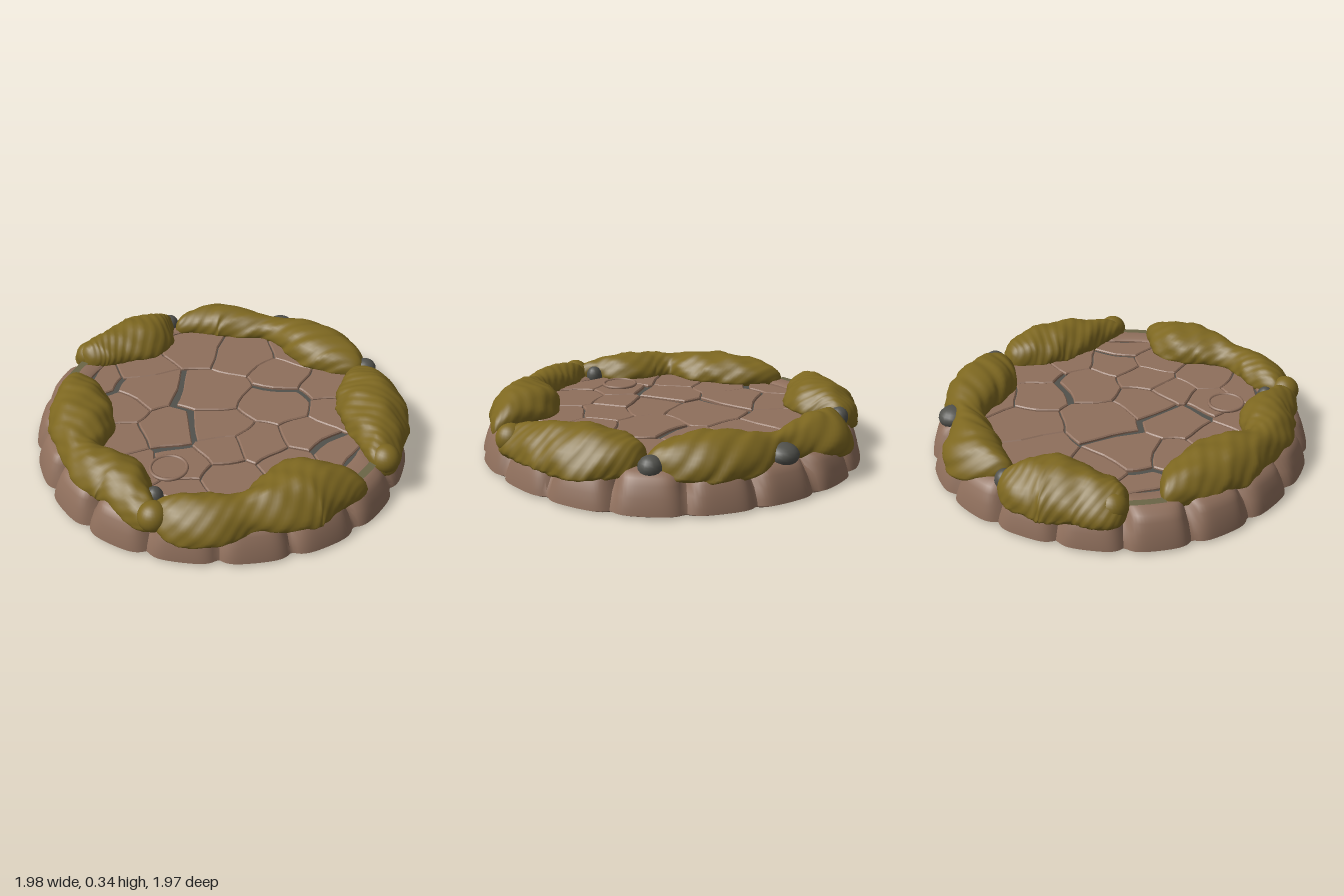
import * as THREE from 'three';
import { mergeVertices, toCreasedNormals } from 'three/addons/utils/BufferGeometryUtils.js';

const mat = (name, color, side = THREE.FrontSide) =>
  Object.assign(new THREE.MeshStandardMaterial({ color, side }), { name });

// Surface from rows of cross-sections, each closed around its columns
function loft(rows, cols, point) {
  const pos = [], index = [];
  for (let i = 0; i <= rows; i++)
    for (let j = 0; j < cols; j++) pos.push(...point(i, j / cols));
  for (let i = 0; i < rows; i++)
    for (let j = 0; j < cols; j++) {
      const k = (j + 1) % cols, a = i * cols + j, b = i * cols + k;
      index.push(a, b, a + cols, b, b + cols, a + cols);
    }
  const geo = new THREE.BufferGeometry();
  geo.setAttribute('position', new THREE.Float32BufferAttribute(pos, 3));
  geo.setIndex(index);
  const merged = mergeVertices(geo, 1e-5);
  merged.computeVertexNormals();
  return merged;
}

// Ring of 18 rounded stones: radius, height and groove depth of each level
const WALL = [
  [0, 0, 0], [0.97, 0, 0.03], [0.995, 0.012, 0.035], [0.99, 0.04, 0.04], [0.975, 0.09, 0.055],
  [0.955, 0.14, 0.075], [0.935, 0.17, 0.085], [0.9, 0.19, 0.07], [0.85, 0.197, 0.03],
  [0.79, 0.195, 0.012], [0.775, 0.185, 0.005], [0.772, 0.16, 0],
];
function wallGeometry() {
  const geo = loft(WALL.length - 1, 360, (i, t) => {
    const a = t * Math.PI * 2;
    const [r0, y0, depth] = WALL[i];
    const s = Math.abs(Math.sin(9 * (a - 0.05 * (1 - Math.cos(a)))));
    const groove = Math.pow(1 - s, 3);
    const uneven = r0 > 0.8 ? 0.008 * Math.sin(5 * a + 1) - 0.006 : 0;
    const r = r0 + uneven - depth * groove;
    const y = y0 > 0.1 ? y0 - depth * 0.25 * groove : y0;
    return [r * Math.sin(a), y, r * Math.cos(a)];
  });
  return toCreasedNormals(geo, 0.7);
}

// Paving stones: cells around these centres (x, z)
const SEEDS = [
  [-0.13, -0.06], [0.2, -0.2], [-0.25, -0.47], [0.05, -0.47], [-0.52, -0.32], [-0.62, 0.0],
  [-0.42, 0.14], [0.1, 0.13], [0.34, 0.1], [-0.08, 0.34], [0.4, 0.38], [0.17, 0.47],
  [-0.42, 0.38], [-0.2, 0.54], [0.5, -0.12], [0.56, 0.12], [0.28, -0.55], [0.5, -0.38],
  [0.67, -0.1], [0.24, 0.27], [-0.7, 0.24], [0.0, 0.67], [0.32, 0.66], [-0.02, -0.68],
];
const WIDE = new Set(['0-6', '0-9', '7-9', '9-11', '1-16', '1-3', '14-18', '6-20', '12-20']);

// Keep the part of a polygon where n.p <= d
function clip(poly, nx, nz, d) {
  const out = [];
  poly.forEach((p, i) => {
    const q = poly[(i + 1) % poly.length];
    const dp = p[0] * nx + p[1] * nz - d, dq = q[0] * nx + q[1] * nz - d;
    if (dp <= 0) out.push(p);
    if (dp * dq < 0) {
      const t = dp / (dp - dq);
      out.push([p[0] + (q[0] - p[0]) * t, p[1] + (q[1] - p[1]) * t]);
    }
  });
  return out;
}

function tileGeometry(index) {
  const [sx, sz] = SEEDS[index];
  let poly = Array.from({ length: 30 }, (_, i) => {
    const a = (i / 30) * Math.PI * 2;
    return [0.765 * Math.cos(a), 0.765 * Math.sin(a)];
  });
  SEEDS.forEach(([x, z], j) => {
    if (j === index) return;
    const len = Math.hypot(x - sx, z - sz), nx = (x - sx) / len, nz = (z - sz) / len;
    const key = Math.min(index, j) + '-' + Math.max(index, j);
    const gap = WIDE.has(key) ? 0.017 : 0.003;
    poly = clip(poly, nx, nz, (nx * (x + sx) + nz * (z + sz)) / 2 - gap);
  });
  poly = poly.filter((p, i) => {
    const q = poly[(i + 1) % poly.length];
    return Math.hypot(p[0] - q[0], p[1] - q[1]) > 0.025;
  });
  // Wavy edges shared by neighbouring stones
  const pts = [];
  poly.forEach((p, i) => {
    const q = poly[(i + 1) % poly.length];
    for (let k = 0; k < 4; k++) {
      const x = p[0] + ((q[0] - p[0]) * k) / 4, z = p[1] + ((q[1] - p[1]) * k) / 4;
      pts.push(new THREE.Vector2(x + 0.012 * Math.sin(21 * z + 1), -(z + 0.012 * Math.sin(19 * x))));
    }
  });
  const geo = new THREE.ExtrudeGeometry(new THREE.Shape(pts), {
    depth: 0.02, bevelThickness: 0.006, bevelSize: 0.006, bevelOffset: -0.006, bevelSegments: 1,
  });
  return geo.rotateX(-Math.PI / 2);
}

// Moss chains: x, z and half width along each clump
const MOSS = [
  [[-0.79, -0.43, 0.04], [-0.8, -0.32, 0.13], [-0.79, -0.17, 0.195], [-0.83, 0.0, 0.155], [-0.86, 0.12, 0.13], [-0.86, 0.21, 0.08]],
  [[-0.7, -0.38, 0.04], [-0.66, -0.5, 0.1], [-0.57, -0.62, 0.15], [-0.4, -0.69, 0.11], [-0.27, -0.74, 0.08],
    [-0.1, -0.78, 0.15], [0.08, -0.77, 0.18], [0.23, -0.76, 0.14], [0.37, -0.74, 0.06]],
  [[0.34, -0.68, 0.05], [0.44, -0.64, 0.14], [0.57, -0.55, 0.19], [0.7, -0.41, 0.17], [0.82, -0.28, 0.11], [0.92, -0.15, 0.07]],
  [[0.94, 0.0, 0.03], [0.85, 0.1, 0.11], [0.75, 0.24, 0.19], [0.7, 0.4, 0.16], [0.63, 0.55, 0.1],
    [0.54, 0.68, 0.13], [0.42, 0.77, 0.12], [0.29, 0.83, 0.06]],
  [[0.36, 0.87, 0.06], [0.2, 0.84, 0.09], [0.04, 0.78, 0.14], [-0.13, 0.79, 0.125], [-0.25, 0.76, 0.1],
    [-0.38, 0.65, 0.16], [-0.52, 0.53, 0.165], [-0.66, 0.43, 0.12], [-0.79, 0.36, 0.04]],
];
function mossGeometry(chain) {
  const curve = new THREE.CatmullRomCurve3(chain.map(([x, z, w]) => new THREE.Vector3(x, w, z)));
  const rows = chain.length * 10;
  return loft(rows, 36, (i, u) => {
    const t = i / rows, p = curve.getPoint(t), tan = curve.getTangent(t);
    tan.y = 0;
    tan.normalize();
    const taper = Math.sqrt(Math.max(0, 1 - Math.pow(Math.abs(2 * t - 1), 14)));
    const a = u * Math.PI * 2, c = Math.cos(a), s = Math.sin(a);
    const lump = 1 + taper * (0.03 * Math.sin(37 * p.x + 5 * a) + 0.025 * Math.sin(43 * p.z - 4 * a) + 0.015 * Math.sin(95 * t + 9 * a));
    const w = p.y * taper * lump;
    const h = (s > 0 ? 0.045 + 0.46 * p.y : 0.06) * taper * lump;
    const x = p.x + tan.z * w * c, z = p.z - tan.x * w * c;
    const droop = Math.max(0, Math.hypot(x, z) - 0.84) * 0.35;
    return [x, 0.2 + h * s - droop, z];
  });
}

export function createModel() {
  const stone = mat('stone brown', 0x8f6f5c);
  const moss = mat('moss olive', 0x7d6720);
  const grey = mat('crack grey', 0x51514c);
  const lichen = mat('dull lichen', 0x6b6546, THREE.DoubleSide);
  const root = new THREE.Group();
  root.name = 'mossyStonePlatform';
  const add = (name, geo, material, x = 0, y = 0, z = 0, parent = root) => {
    const mesh = new THREE.Mesh(geo, material);
    mesh.name = name;
    mesh.position.set(x, y, z);
    parent.add(mesh);
    return mesh;
  };

  // Base and floor
  add('stoneRing', wallGeometry(), stone);
  add('crackBed', new THREE.CircleGeometry(0.78, 64).rotateX(-Math.PI / 2), grey, 0, 0.174, 0);
  const paving = new THREE.Group();
  paving.name = 'pavingStones';
  root.add(paving);
  SEEDS.forEach((_, i) =>
    add('pavingStone', tileGeometry(i), stone, 0, 0.163 + 0.003 * Math.sin(i * 2.4), 0, paving));

  // Small round stone set in the floor
  add('roundStone', new THREE.CylinderGeometry(0.085, 0.09, 0.03, 40), stone, 0.14, 0.183, 0.55);
  add('roundStoneRim', new THREE.TorusGeometry(0.09, 0.009, 8, 40).rotateX(Math.PI / 2), stone, 0.14, 0.197, 0.55);

  // Moss clumps, with a hanging tuft at three loose ends
  MOSS.forEach((chain) => add('mossClump', mossGeometry(chain), moss));
  [[0.89, -0.21], [0.33, 0.85], [-0.88, 0.14]].forEach(([x, z]) =>
    add('mossTuft', new THREE.SphereGeometry(1, 24, 16), moss, x, 0.2, z).scale.set(0.075, 0.075, 0.075));

  // Grey pebbles showing between the clumps
  [[-0.27, -0.82, 0.08], [0.36, -0.79, 0.06], [-0.77, -0.4, 0.05], [0.72, 0.48, 0.06], [0.24, 0.75, 0.045]].forEach(([x, z, r]) =>
    add('pebble', new THREE.SphereGeometry(1, 16, 12), grey, x, 0.2, z).scale.set(r, 0.055, r));

  // Thin lichen strips on the bare stretches of the rim
  [[0.88, -0.06, 0.22], [0.87, 3.36, 0.22]].forEach(([r, start, sweep]) =>
    add('lichenStrip', new THREE.RingGeometry(r - 0.02, r + 0.02, 16, 1, start, sweep).rotateX(-Math.PI / 2), lichen, 0, 0.2, 0));
  return root;
}
